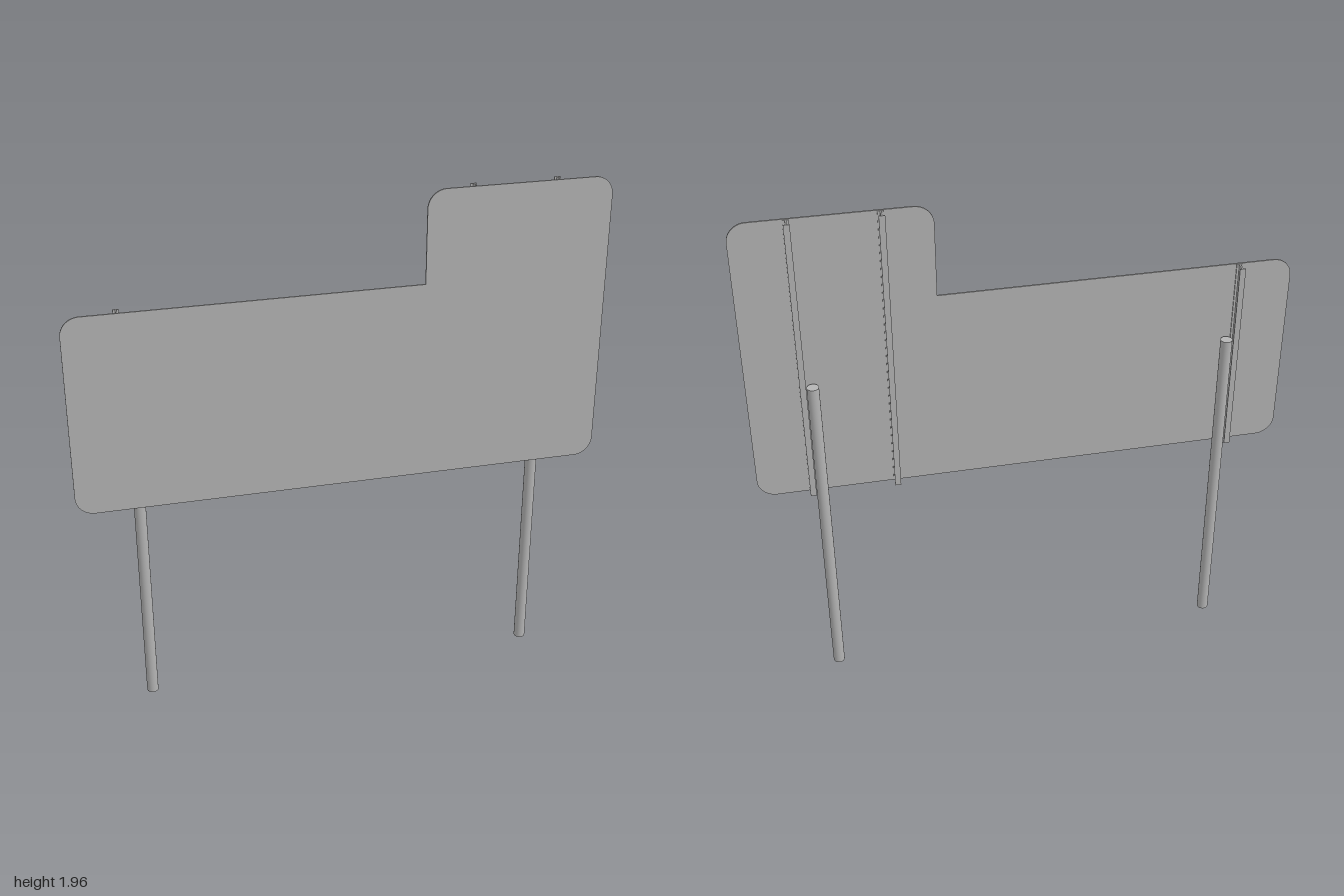
import * as THREE from 'three';

const grey = new THREE.MeshStandardMaterial({ color: 0xb4b4b4 });
grey.name = 'galvanised grey';

export function createModel() {
  const model = new THREE.Group();
  model.name = 'signBoard';
  const add = (name, geometry, x, y, z, parent = model) => {
    const mesh = new THREE.Mesh(geometry, grey);
    mesh.name = name;
    mesh.position.set(x, y, z);
    parent.add(mesh);
  };

  // Stepped panel with rounded outer corners and a sharp inner corner
  const bottom = 0.84, low = 1.61, high = 1.96, step = 0.305, r = 0.07;
  const s = new THREE.Shape();
  s.moveTo(-1 + r, bottom);
  s.lineTo(1 - r, bottom);
  s.absarc(1 - r, bottom + r, r, -Math.PI / 2, 0);
  s.lineTo(1, high - r);
  s.absarc(1 - r, high - r, r, 0, Math.PI / 2);
  s.lineTo(step + r, high);
  s.absarc(step + r, high - r, r, Math.PI / 2, Math.PI);
  s.lineTo(step, low);
  s.lineTo(-1 + r, low);
  s.absarc(-1 + r, low - r, r, Math.PI / 2, Math.PI);
  s.lineTo(-1, bottom + r);
  s.absarc(-1 + r, bottom + r, r, Math.PI, Math.PI * 1.5);
  add('panel', new THREE.ExtrudeGeometry(s, { depth: 0.006, bevelEnabled: false, curveSegments: 10 }), 0, 0, 0.022);

  // Slim I-beams behind the panel
  for (const [x, top] of [[-0.8, low], [0.485, high], [0.8, high]]) {
    const beam = new THREE.Group();
    beam.name = 'stiffener';
    const h = top - bottom - 0.004, y = bottom + 0.002 + h / 2;
    add('frontFlange', new THREE.BoxGeometry(0.022, h, 0.004), x, y, 0.02, beam);
    add('web', new THREE.BoxGeometry(0.005, h, 0.032), x, y, 0.002, beam);
    add('backFlange', new THREE.BoxGeometry(0.022, h, 0.004), x, y, -0.016, beam);
    model.add(beam);
  }

  // Round support posts
  for (const x of [-0.765, 0.765]) {
    add('post', new THREE.CylinderGeometry(0.022, 0.022, 1.31, 32), x, 0.655, -0.007);
  }
  return model;
}
